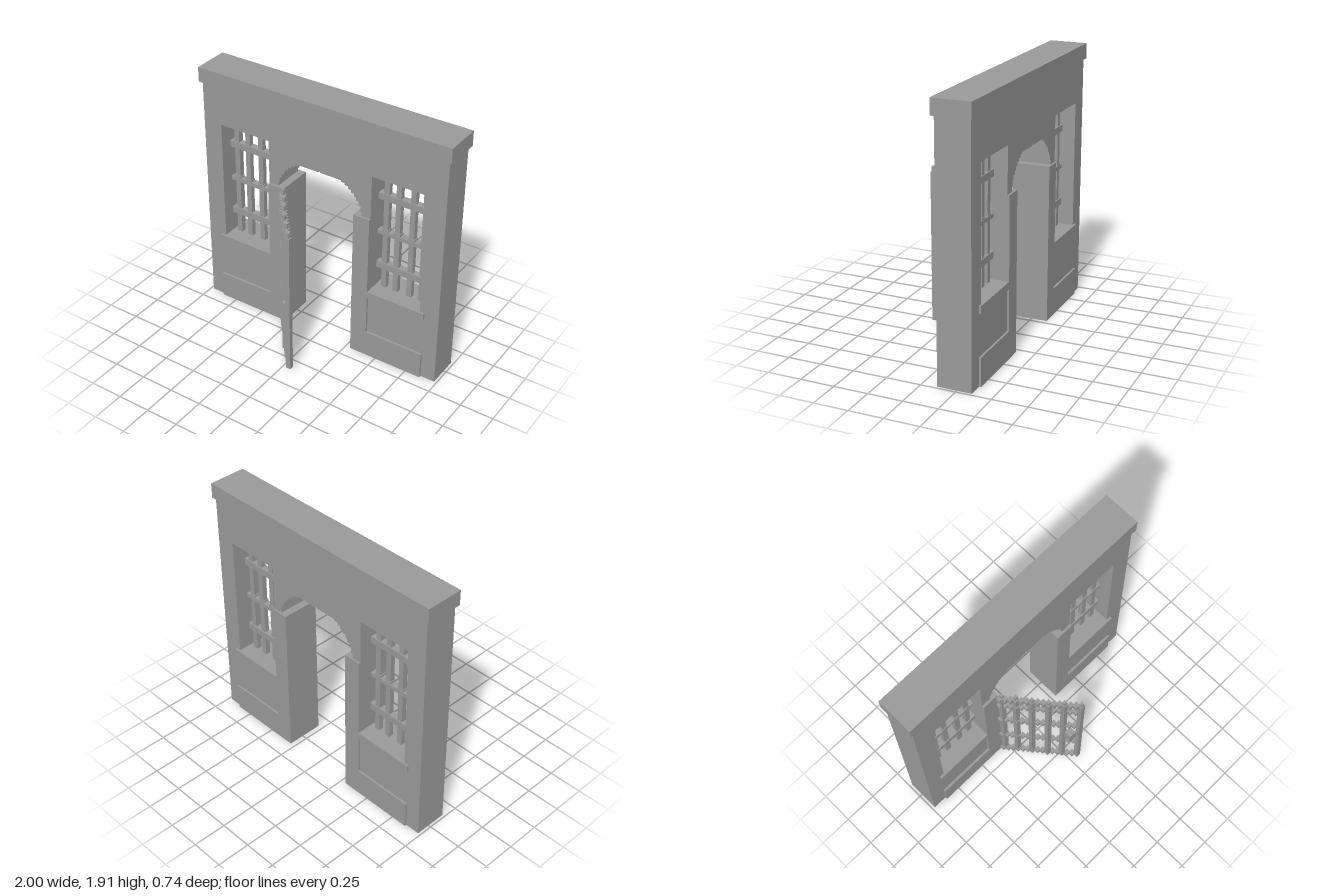
import * as THREE from 'three';

const stone = new THREE.MeshStandardMaterial({ color: 0x9a9a9a });
stone.name = 'grey stone';

// Box given by its min and max along each axis
function box(parent, name, x0, x1, y0, y1, z0, z1) {
  const mesh = new THREE.Mesh(new THREE.BoxGeometry(x1 - x0, y1 - y0, z1 - z0), stone);
  mesh.position.set((x0 + x1) / 2, (y0 + y1) / 2, (z0 + z1) / 2);
  mesh.name = name;
  parent.add(mesh);
  return mesh;
}

function group(parent, name) {
  const g = new THREE.Group();
  g.name = name;
  parent.add(g);
  return g;
}

const BACK = -0.37, FRONT = -0.092; // depth of the raised masonry

// Wall with a stepped arch and two window openings
function buildWall(parent) {
  const xs = [0.345, 0.333, 0.318, 0.296, 0.28, 0.258, 0.232, 0.205, 0.176];
  const ys = [1.2, 1.238, 1.27, 1.297, 1.32, 1.342, 1.362, 1.378, 1.39];
  const half = [[0.29, 0], [0.29, 1.165], [xs[0], 1.165]];
  xs.forEach((x, i) => {
    half.push([x, ys[i]]);
    half.push([xs[i + 1] ?? 0.007, ys[i]]);
  });
  half.push([0.007, 1.405]);
  const left = half.map(([x, y]) => new THREE.Vector2(x, y));
  const right = half.map(([x, y]) => new THREE.Vector2(-x, y)).reverse();
  const shape = new THREE.Shape([
    new THREE.Vector2(0.98, 0), new THREE.Vector2(0.98, 1.81),
    new THREE.Vector2(-0.98, 1.81), new THREE.Vector2(-0.98, 0),
    ...right.reverse(), ...left.reverse(),
  ]);
  for (const s of [-1, 1]) {
    shape.holes.push(new THREE.Path([[0.417, 0.54], [0.833, 0.54], [0.833, 1.5], [0.417, 1.5]]
      .map(([x, y]) => new THREE.Vector2(s * x, y))));
  }
  const geo = new THREE.ExtrudeGeometry(shape, { depth: 0.245, bevelEnabled: false });
  const wall = new THREE.Mesh(geo, stone);
  wall.position.z = -0.355;
  wall.name = 'wall';
  parent.add(wall);
}

// Pier, plinth, sill and window bars of one side
function buildSide(parent, s) {
  const side = group(parent, s > 0 ? 'leftSide' : 'rightSide');
  const part = (name, a, b, y0, y1, z0, z1) =>
    box(side, name, Math.min(s * a, s * b), Math.max(s * a, s * b), y0, y1, z0, z1);
  part('pier', 0.289, 0.417, 0, 1.165, BACK, FRONT);
  part('plinth', 0.417, 0.87, 0, 0.205, BACK, FRONT);
  part('sill', 0.417, 0.87, 0.51, 0.562, BACK, FRONT);
  for (const x of [0.477, 0.57, 0.682, 0.778]) {
    part('windowBar', x - 0.02, x + 0.02, 0.56, 1.5, -0.25, -0.213);
    part('barCollar', x - 0.026, x + 0.026, 1.0, 1.045, -0.254, -0.208);
  }
  for (const [y0, y1] of [[0.715, 0.765], [1.0, 1.03], [1.28, 1.33]]) {
    part('windowRail', 0.417, 0.833, y0, y1, -0.257, -0.206);
  }
}

// Open gate standing at an angle, made of upright blocks
function buildGate(parent) {
  const gate = group(parent, 'gate');
  const bars = [[-0.275, -0.07], [-0.215, 0.005], [-0.152, 0.095],
    [-0.085, 0.19], [-0.012, 0.267], [0.062, 0.355]];
  for (const [x, z] of bars) {
    box(gate, 'gateBar', x - 0.018, x + 0.018, 0.025, 1.14, z - 0.017, z + 0.017);
    box(gate, 'gateBarTip', x - 0.011, x + 0.011, 1.14, 1.18, z - 0.011, z + 0.011);
  }
  const steps = 16;
  for (const [y0, y1] of [[0.025, 0.06], [0.345, 0.375], [0.68, 0.715], [0.98, 1.015], [1.09, 1.14]]) {
    const rail = group(gate, 'gateRail');
    for (let i = 0; i < steps; i++) {
      const t = i / (steps - 1);
      const x = -0.29 + 0.353 * t, z = -0.075 + 0.43 * t;
      box(rail, 'railBlock', x - 0.018, x + 0.018, y0, y1, z - 0.017, z + 0.017);
    }
  }
  box(gate, 'lock', -0.01, 0.046, 0.452, 0.562, 0.282, 0.34);
}

export function createModel() {
  const model = new THREE.Group();
  model.name = 'gateway';
  buildWall(model);
  box(model, 'coping', -1, 1, 1.8, 1.912, BACK, FRONT);
  buildSide(model, 1);
  buildSide(model, -1);
  buildGate(model);
  return model;
}
